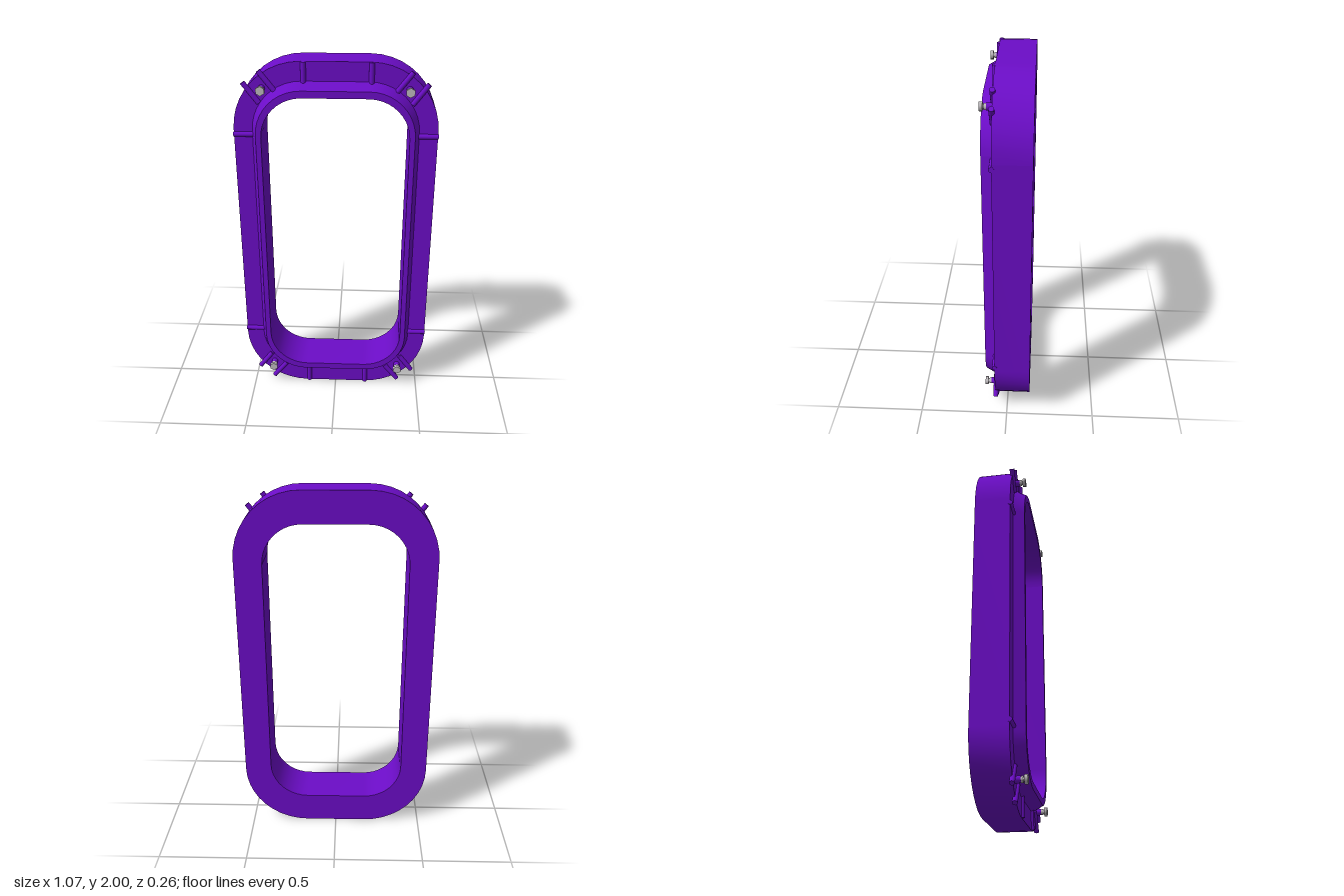
import * as THREE from 'three';

const purple = new THREE.MeshStandardMaterial({ color: 0x6c0dc8 });
purple.name = 'purple';
const steel = new THREE.MeshStandardMaterial({ color: 0xc0bcc0 });
steel.name = 'steel';

const FACE_Z = 0.065;

// closed rounded rectangle, counter-clockwise as seen from the front
function roundedRing({ w, h, r, z }, steps = 10) {
  const points = [];
  [[1, 1], [-1, 1], [-1, -1], [1, -1]].forEach(([sx, sy], corner) => {
    for (let i = 0; i <= steps; i++) {
      const a = (corner + i / steps) * Math.PI / 2;
      points.push([sx * (w - r) + r * Math.cos(a), 1 + sy * (h - r) + r * Math.sin(a), z]);
    }
  });
  points.push(points[0]);
  return points;
}

// smooth strip joining two rings
function band(a, b) {
  const pa = roundedRing(a), pb = roundedRing(b), n = pa.length, index = [];
  for (let i = 0; i < n - 1; i++) index.push(i, i + 1, n + i + 1, i, n + i + 1, n + i);
  const g = new THREE.BufferGeometry();
  g.setAttribute('position', new THREE.Float32BufferAttribute([...pa, ...pb].flat(), 3));
  g.setIndex(index);
  g.computeVertexNormals();
  return g;
}

function add(parent, name, geometry, material) {
  const mesh = new THREE.Mesh(geometry, material);
  mesh.name = name;
  parent.add(mesh);
  return mesh;
}

export function createModel() {
  const model = new THREE.Group();
  model.name = 'windowFrame';

  // frame: half width, half height, corner radius and depth of each edge
  const edges = [
    { w: 0.535, h: 1.0, r: 0.36, z: -0.13 },
    { w: 0.535, h: 1.0, r: 0.36, z: FACE_Z },
    { w: 0.437, h: 0.9, r: 0.265, z: FACE_Z },
    { w: 0.413, h: 0.865, r: 0.24, z: 0.125 },
    { w: 0.385, h: 0.828, r: 0.215, z: 0.125 },
    { w: 0.385, h: 0.828, r: 0.215, z: -0.13 },
  ];
  const names = ['outerWall', 'flange', 'lipSlope', 'lipFront', 'innerWall', 'backFace'];
  const frame = new THREE.Group();
  frame.name = 'frame';
  model.add(frame);
  edges.forEach((e, i) => add(frame, names[i], band(e, edges[(i + 1) % edges.length]), purple));

  // round ribs half sunk into the flange
  const ribs = new THREE.Group();
  ribs.name = 'ribs';
  model.add(ribs);
  const rib = (x1, y1, x2, y2) => {
    const d = new THREE.Vector3(x2 - x1, y2 - y1, 0);
    const m = add(ribs, 'rib', new THREE.CylinderGeometry(0.014, 0.014, d.length(), 12), purple);
    m.position.set((x1 + x2) / 2, (y1 + y2) / 2, FACE_Z);
    m.quaternion.setFromUnitVectors(new THREE.Vector3(0, 1, 0), d.normalize());
  };
  for (const s of [-1, 1]) {
    for (const y of [0.385, 1.615]) rib(s * 0.43, y, s * 0.537, y);
    const x = s < 0 ? -0.163 : 0.183;
    rib(x, 1.89, x, 1.998);
    rib(x, 0.002, x, 0.11);
    // diagonal pairs beside the corner bolts
    rib(s * 0.395, 1.785, s * 0.475, 1.89);
    rib(s * 0.31, 1.845, s * 0.392, 1.95);
    rib(s * 0.392, 0.2, s * 0.467, 0.1);
    rib(s * 0.302, 0.13, s * 0.382, 0.028);
  }

  // corner bolts on small bosses
  const disc = (parent, name, r, z1, z2, sides, material) => {
    const g = new THREE.CylinderGeometry(r, r, z2 - z1, sides).rotateX(Math.PI / 2);
    add(parent, name, g, material).position.z = (z1 + z2) / 2;
  };
  for (const x of [-0.378, 0.378]) {
    for (const y of [0.138, 1.862]) {
      const bolt = new THREE.Group();
      bolt.name = 'cornerBolt';
      bolt.position.set(x, y, 0);
      disc(bolt, 'boss', 0.018, 0.06, 0.095, 12, purple);
      disc(bolt, 'washer', 0.017, 0.095, 0.106, 12, steel);
      disc(bolt, 'shank', 0.011, 0.09, 0.115, 12, steel);
      disc(bolt, 'hexHead', 0.025, 0.112, 0.129, 6, steel);
      model.add(bolt);
    }
  }
  return model;
}
